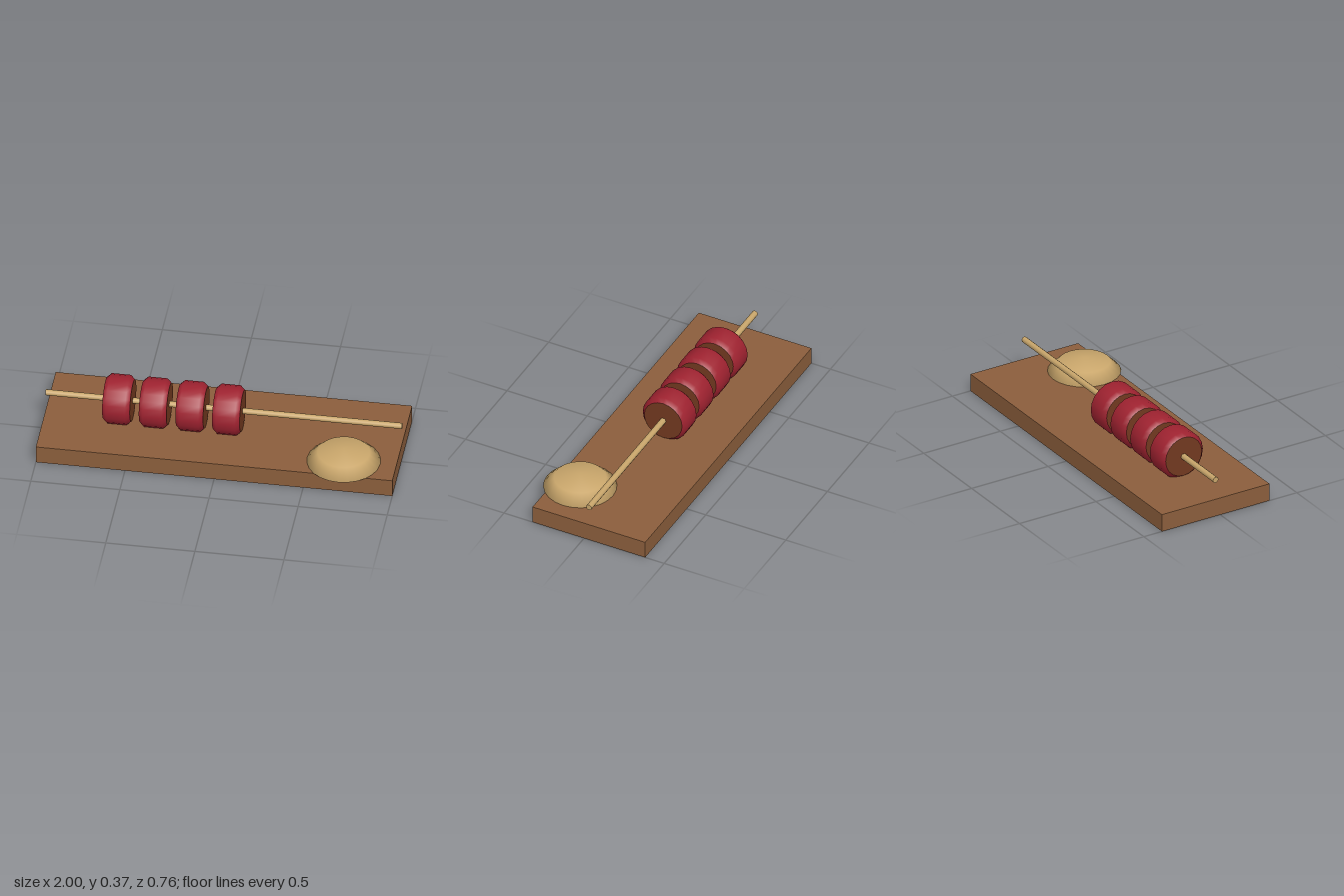
import * as THREE from 'three';

const mat = (name, color, side = THREE.FrontSide) => {
  const m = new THREE.MeshStandardMaterial({ color, side });
  m.name = name;
  return m;
};

export function createModel() {
  const group = new THREE.Group();
  const wood = mat('wood', 0x8b5e3c);
  const red = mat('red', 0x9f2230);
  const darkWood = mat('darkWood', 0x723920);
  const tan = mat('tan', 0xc9a66b, THREE.DoubleSide);

  const add = (name, geometry, material, x, y, z, parent = group) => {
    const mesh = new THREE.Mesh(geometry, material);
    mesh.name = name;
    mesh.position.set(x, y, z);
    parent.add(mesh);
    return mesh;
  };

  // Base board
  add('board', new THREE.BoxGeometry(2, 0.105, 0.703), wood, 0, 0.0525, -0.03);

  // Rod running the full length through the rings
  const axisY = 0.225, axisZ = -0.03;
  add('rod', new THREE.CylinderGeometry(0.0175, 0.0175, 2, 10).rotateZ(Math.PI / 2), tan, 0, axisY, axisZ);

  // Four chamfered rings: red rim around a dark core showing at both ends
  const h = 0.0775, r = 0.14, inner = 0.118, chamfer = 0.024;
  const profile = [[inner, -h], [r, -h + chamfer], [r, h - chamfer], [inner, h]]
    .map(([x, y]) => new THREE.Vector2(x, y));
  const rim = new THREE.LatheGeometry(profile, 20).rotateZ(Math.PI / 2);
  const core = new THREE.CylinderGeometry(inner, inner, h * 2, 20).rotateZ(Math.PI / 2);
  for (let i = 0; i < 4; i++) {
    const ring = new THREE.Group();
    ring.name = 'ring' + (i + 1);
    ring.position.set(-0.588 + i * 0.2055, axisY, axisZ);
    add('rim', rim, red, 0, 0, 0, ring);
    add('core', core, darkWood, 0, 0, 0, ring);
    group.add(ring);
  }

  // Low dome overhanging the front edge
  const dome = new THREE.SphereGeometry(0.205, 24, 2, 0, Math.PI * 2, 0, Math.PI / 2).scale(1, 0.4, 1);
  add('dome', dome, tan, 0.705, 0.105, 0.178);

  return group;
}
